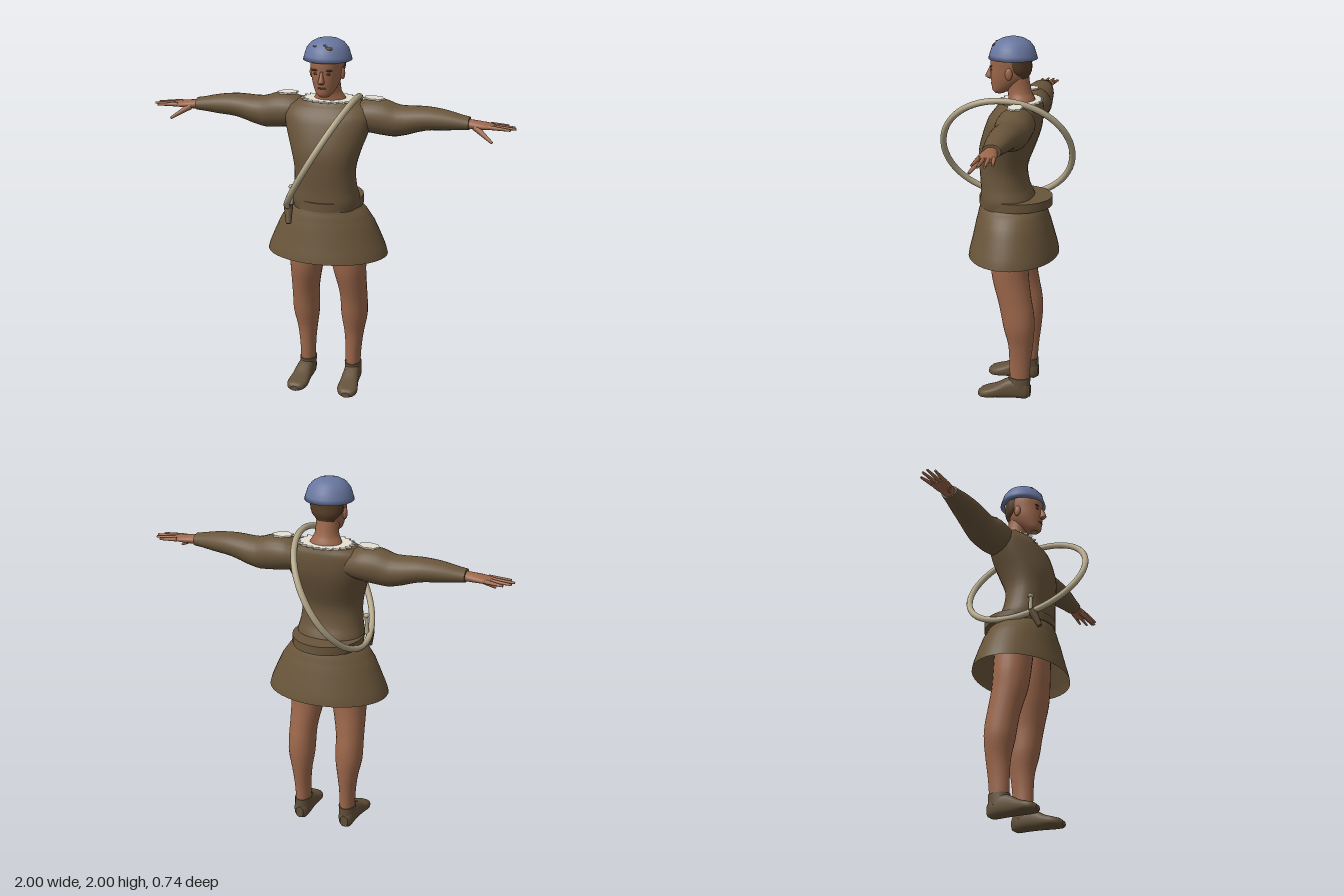
import * as THREE from 'three';

const mat = (name, color) => {
  const m = new THREE.MeshStandardMaterial({ color });
  m.name = name;
  return m;
};

// Lofted body: sections are [t, centreU, centreV, radiusU, radiusV] rising along an axis.
// axis y: u = z, v = x; axis x: u = y, v = z; axis z: u = x, v = y.
function loft(axis, sections, { sides = 24, power = 2, steps = 3, open = false } = {}) {
  const rings = [];
  const at = (i) => sections[Math.max(0, Math.min(sections.length - 1, i))];
  for (let i = 0; i < sections.length - 1; i++) {
    for (let s = 0; s < steps; s++) {
      const f = s / steps;
      rings.push(at(i).map((p1, k) => {
        if (k === 0) return p1 + (at(i + 1)[0] - p1) * f;
        const p0 = at(i - 1)[k], p2 = at(i + 1)[k], p3 = at(i + 2)[k];
        return p1 + 0.5 * f * (p2 - p0 + f * (2 * p0 - 5 * p1 + 4 * p2 - p3 + f * (3 * (p1 - p2) + p3 - p0)));
      }));
    }
  }
  rings.push(at(sections.length - 1));
  const pos = [], index = [];
  const put = (t, u, v) => pos.push(...(axis === 'y' ? [v, t, u] : axis === 'x' ? [t, u, v] : [u, v, t]));
  const bend = (c) => Math.sign(c) * Math.pow(Math.abs(c), 2 / power);
  const addRing = ([t, cu, cv, ru, rv]) => {
    for (let j = 0; j < sides; j++) {
      const a = (j / sides) * Math.PI * 2;
      put(t, cu + ru * bend(Math.cos(a)), cv + rv * bend(Math.sin(a)));
    }
  };
  rings.forEach(addRing);
  for (let i = 0; i < rings.length - 1; i++) {
    for (let j = 0; j < sides; j++) {
      const a = i * sides + j, b = i * sides + (j + 1) % sides;
      index.push(a, b, b + sides, a, b + sides, a + sides);
    }
  }
  // Flat caps with their own vertices keep the rims sharp
  if (!open) {
    [rings[0], rings[rings.length - 1]].forEach((r, end) => {
      const start = pos.length / 3;
      addRing(r);
      put(r[0], r[1], r[2]);
      for (let j = 0; j < sides; j++) {
        const a = start + j, b = start + (j + 1) % sides;
        index.push(start + sides, ...(end ? [a, b] : [b, a]));
      }
    });
  }
  const g = new THREE.BufferGeometry();
  g.setAttribute('position', new THREE.Float32BufferAttribute(pos, 3));
  g.setIndex(index);
  g.computeVertexNormals();
  return g;
}

// Mirror across x, keeping faces outward
function mirrored(geometry) {
  const g = geometry.index ? geometry.clone() : geometry.clone().setIndex([...Array(geometry.attributes.position.count).keys()]);
  const p = g.attributes.position, n = g.attributes.normal, ix = g.index.array;
  for (let i = 0; i < p.count; i++) {
    p.setX(i, -p.getX(i));
    n.setX(i, -n.getX(i));
  }
  for (let i = 0; i < ix.length; i += 3) [ix[i], ix[i + 1]] = [ix[i + 1], ix[i]];
  return g;
}

// Tapered rod between two points
function rod(a, b, ra, rb) {
  const from = new THREE.Vector3(...a), dir = new THREE.Vector3(...b).sub(from);
  const g = new THREE.CylinderGeometry(rb, ra, dir.length(), 10, 1);
  g.translate(0, dir.length() / 2, 0);
  g.applyQuaternion(new THREE.Quaternion().setFromUnitVectors(new THREE.Vector3(0, 1, 0), dir.normalize()));
  return g.translate(...a);
}

const blob = (x, y, z, rx, ry, rz) => new THREE.SphereGeometry(1, 14, 10).scale(rx, ry, rz).translate(x, y, z);

// Flat cloth piece with a jagged edge, lying level
function jagged(points, outer, inner, rx, rz, hole) {
  const ring = (k) => {
    const a = (k / (points * 2)) * Math.PI * 2, r = k % 2 ? inner : outer;
    return new THREE.Vector2(Math.cos(a) * rx * r, Math.sin(a) * rz * r);
  };
  const shape = new THREE.Shape([...Array(points * 2).keys()].map(ring));
  if (hole) shape.holes.push(new THREE.Path().absellipse(0, 0, rx * hole, rz * hole, 0, Math.PI * 2, true));
  return new THREE.ExtrudeGeometry(shape, { depth: 0.008, bevelEnabled: false, curveSegments: 16 }).rotateX(-Math.PI / 2);
}

export function createModel() {
  const model = new THREE.Group();
  const cloth = mat('brown cloth', 0x69553b);
  const skirtCloth = mat('skirt cloth', 0x69553a);
  skirtCloth.side = THREE.DoubleSide;
  const skin = mat('skin', 0x9c674b);
  const steel = mat('blue steel', 0x68769f);
  const horn = mat('pale horn', 0xb3a688);
  const linen = mat('white linen', 0xe6e1d4);
  const hair = mat('dark hair', 0x583d28);
  const leather = mat('shoe leather', 0x625039);
  const add = (name, geometry, material) => {
    const m = new THREE.Mesh(geometry, material);
    m.name = name;
    model.add(m);
    return m;
  };
  const pair = (name, geometry, material) => {
    add(name + 'Left', geometry, material);
    add(name + 'Right', mirrored(geometry), material);
  };

  // Tunic, belt and flared skirt
  add('tunic', loft('y', [
    [1.06, -0.01, 0, 0.14, 0.17], [1.13, -0.007, 0, 0.145, 0.185], [1.2, 0.008, 0, 0.13, 0.172],
    [1.3, 0.017, 0, 0.128, 0.166], [1.4, 0, 0, 0.146, 0.188], [1.5, -0.03, 0, 0.15, 0.222],
    [1.58, -0.05, 0, 0.14, 0.24], [1.63, -0.068, 0, 0.12, 0.225], [1.66, -0.078, 0, 0.1, 0.165],
  ], { sides: 32, power: 2.2 }), cloth);
  add('belt', loft('y', [[1.092, -0.05, 0, 0.198, 0.192], [1.14, -0.05, 0, 0.198, 0.192]], { sides: 32, steps: 1 }), cloth);
  add('skirt', loft('y', [
    [0.815, -0.04, 0, 0.245, 0.335], [0.9, -0.04, 0, 0.226, 0.305], [1, -0.037, 0, 0.202, 0.26],
    [1.06, -0.035, 0, 0.186, 0.218], [1.1, -0.034, 0, 0.175, 0.175],
  ], { sides: 40, open: true }), skirtCloth);

  // Linen showing at the neck and shoulders
  add('collar', jagged(22, 1, 0.84, 0.158, 0.118, 0.4).translate(0, 1.66, -0.078), linen);
  pair('shoulderPatch', jagged(7, 1, 0.82, 0.06, 0.044).rotateZ(-0.04).translate(0.24, 1.673, -0.088), linen);

  // Sleeves
  pair('sleeve', loft('x', [
    [0.13, 1.575, -0.085, 0.07, 0.085], [0.21, 1.583, -0.09, 0.09, 0.1], [0.3, 1.577, -0.09, 0.095, 0.098],
    [0.38, 1.565, -0.09, 0.083, 0.09], [0.52, 1.587, -0.088, 0.064, 0.079], [0.63, 1.588, -0.081, 0.053, 0.065],
    [0.755, 1.582, -0.073, 0.034, 0.047],
  ]), cloth);

  // Hands
  pair('palm', loft('x', [
    [0.72, 1.58, -0.073, 0.025, 0.03], [0.78, 1.578, -0.07, 0.024, 0.038],
    [0.84, 1.576, -0.07, 0.018, 0.048], [0.885, 1.575, -0.07, 0.011, 0.046],
  ], { sides: 16 }), skin);
  const fingers = [[-0.107, 0.955, -0.122], [-0.083, 0.99, -0.09], [-0.059, 1, -0.058], [-0.036, 0.975, -0.026]];
  fingers.forEach(([z, tip, tipZ], i) =>
    pair('finger' + (i + 1), rod([0.86, 1.577, z], [tip, 1.572, tipZ], 0.012, 0.006), skin));
  pair('thumb', rod([0.79, 1.57, -0.045], [0.888, 1.508, 0.008], 0.018, 0.007), skin);

  // Legs and shoes
  pair('leg', loft('y', [
    [0.05, -0.098, 0.133, 0.05, 0.038], [0.14, -0.098, 0.133, 0.056, 0.042], [0.22, -0.1, 0.135, 0.06, 0.045],
    [0.32, -0.103, 0.137, 0.069, 0.056], [0.42, -0.095, 0.14, 0.085, 0.073], [0.5, -0.086, 0.14, 0.091, 0.075],
    [0.58, -0.07, 0.137, 0.093, 0.077], [0.7, -0.045, 0.125, 0.1, 0.089], [0.8, -0.037, 0.115, 0.103, 0.1],
    [0.98, -0.03, 0.1, 0.11, 0.1],
  ]), skin);
  pair('shoe', loft('z', [
    [-0.158, 0.135, 0.045, 0.022, 0.032], [-0.135, 0.135, 0.055, 0.04, 0.055], [-0.08, 0.135, 0.06, 0.046, 0.06],
    [-0.03, 0.138, 0.055, 0.047, 0.055], [0.03, 0.142, 0.038, 0.053, 0.038], [0.08, 0.146, 0.029, 0.058, 0.029],
    [0.115, 0.149, 0.023, 0.046, 0.023], [0.132, 0.15, 0.018, 0.022, 0.014],
  ], { power: 2.6 }), leather);
  pair('shoeCuff', loft('y', [[0.06, -0.095, 0.135, 0.062, 0.046], [0.125, -0.097, 0.133, 0.061, 0.047]], { steps: 1 }), leather);

  // Neck, head and face
  add('neck', loft('y', [
    [1.62, -0.085, 0, 0.075, 0.1], [1.67, -0.08, 0, 0.07, 0.085], [1.71, -0.068, 0, 0.064, 0.064], [1.79, -0.052, 0, 0.065, 0.06],
  ]), skin);
  add('head', loft('y', [
    [1.7, 0.04, 0, 0.024, 0.026], [1.715, 0.03, 0, 0.048, 0.044], [1.75, 0.003, 0, 0.08, 0.063],
    [1.79, -0.014, 0, 0.1, 0.077], [1.84, -0.02, 0, 0.107, 0.084], [1.9, -0.022, 0, 0.106, 0.088], [1.95, -0.03, 0, 0.07, 0.07],
  ]), skin);
  add('nose', loft('y', [
    [1.775, 0.09, 0, 0.01, 0.012], [1.785, 0.095, 0, 0.021, 0.018], [1.81, 0.092, 0, 0.015, 0.011], [1.84, 0.083, 0, 0.01, 0.008],
  ], { sides: 12 }), skin);
  add('mouth', blob(0, 1.752, 0.08, 0.024, 0.005, 0.006), hair);
  pair('eye', blob(0.033, 1.828, 0.077, 0.014, 0.005, 0.005), hair);
  pair('brow', blob(0.035, 1.847, 0.077, 0.022, 0.005, 0.007), hair);
  pair('ear', blob(0.084, 1.815, -0.025, 0.012, 0.032, 0.02), skin);
  add('hair', loft('y', [
    [1.785, -0.08, 0, 0.036, 0.05], [1.82, -0.073, 0, 0.058, 0.079], [1.86, -0.066, 0, 0.066, 0.09], [1.91, -0.064, 0, 0.068, 0.094],
  ]), hair);

  // Domed helmet with worn patches
  const dome = [[0.105, 1.888], [0.13, 1.886], [0.123, 1.91], [0.112, 1.945], [0.09, 1.973], [0.06, 1.99], [0.03, 1.998], [0, 2]];
  add('helmet', new THREE.LatheGeometry(dome.map(([r, y]) => new THREE.Vector2(r, y)), 36).translate(0, 0, -0.032), steel);
  [[0.035, 1.961, 0.064, 0.02, 0.011], [0.01, 1.973, 0.055, 0.012, 0.006], [-0.045, 1.967, 0.051, 0.012, 0.007]].forEach(([x, y, z, rx, ry], i) => {
    const patch = add('wornPatch' + (i + 1), new THREE.SphereGeometry(1, 7, 5).scale(rx, ry, 0.004), hair);
    patch.position.set(x, y, z);
    patch.rotation.set(-0.85, 0.2 * Math.sign(x), 0);
  });

  // Large hoop slung from the left shoulder to the right hip
  add('slungHoop', new THREE.TorusGeometry(0.351, 0.017, 12, 72).rotateY(Math.PI / 2).rotateZ(-0.53).translate(-0.014, 1.388, 0), horn);

  // Dagger at the right hip
  add('daggerGrip', rod([-0.168, 1.1, 0.1], [-0.163, 1.2, 0.1], 0.012, 0.01), horn);
  add('daggerPommel', blob(-0.163, 1.207, 0.1, 0.017, 0.013, 0.017), horn);
  add('daggerSheath', rod([-0.165, 1.015, 0.155], [-0.178, 1.11, 0.115], 0.014, 0.026), leather);

  return model;
}
